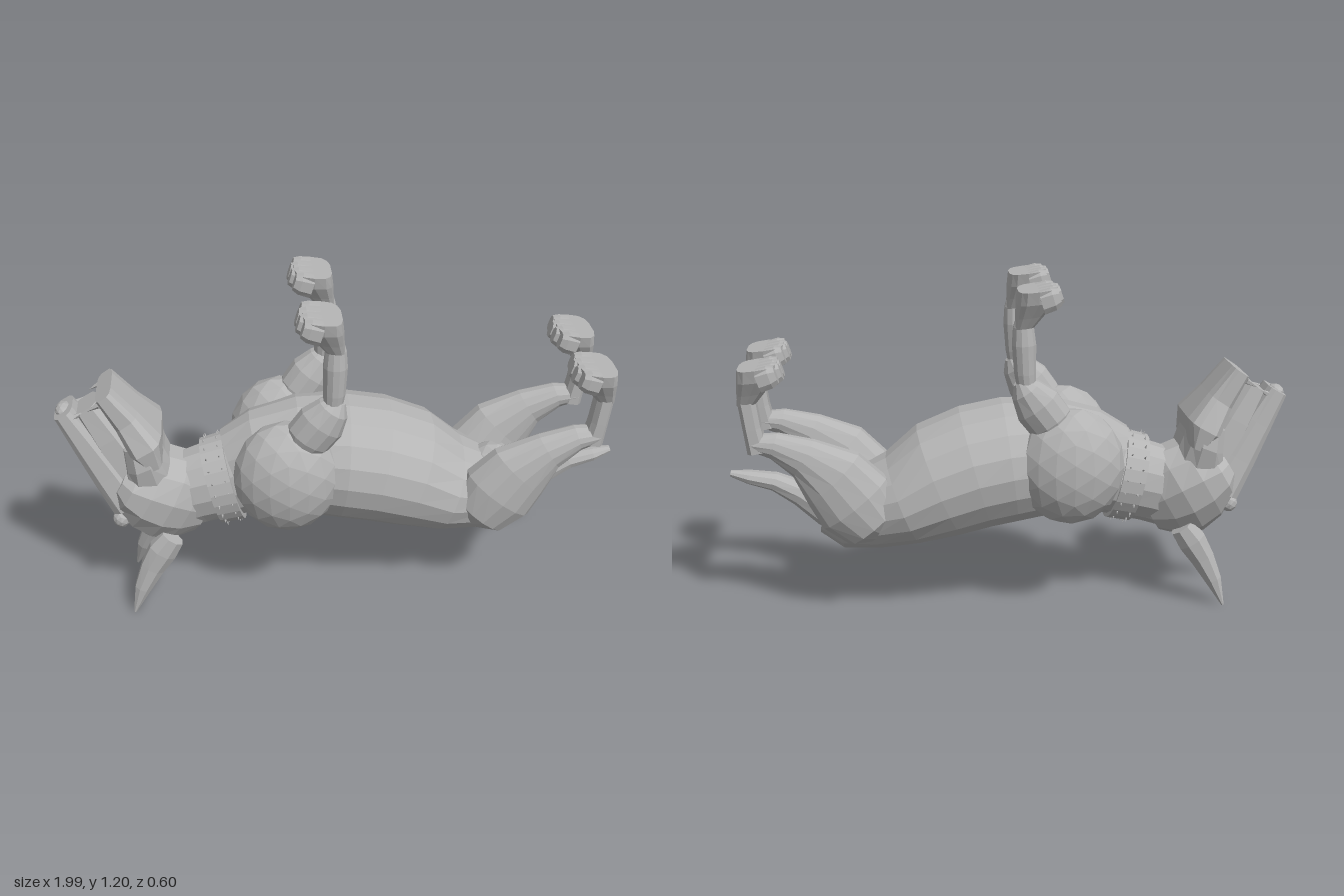
import * as THREE from 'three';

const coat = new THREE.MeshStandardMaterial({ color: 0xb4b4b4, flatShading: true });
coat.name = 'plainGrey';

// Facets a geometry and wraps it in a named mesh.
function part(name, geometry) {
  const g = geometry.index ? geometry.toNonIndexed() : geometry;
  g.computeVertexNormals();
  const mesh = new THREE.Mesh(g, coat);
  mesh.name = name;
  return mesh;
}

// Skins rings [x, y, half height, half width, z] square to the path, or square to dir.
function loft(name, rows, { sides = 12, box = 1, dir = null } = {}) {
  const pos = [], idx = [], n = rows.length;
  const soft = v => Math.sign(v) * Math.abs(v) ** box;
  rows.forEach(([x, y, h, w, z = 0], i) => {
    const a = rows[Math.max(i - 1, 0)], b = rows[Math.min(i + 1, n - 1)];
    const t = new THREE.Vector2(...(dir || [b[0] - a[0], b[1] - a[1]])).normalize();
    for (let j = 0; j < sides; j++) {
      const q = (j + 0.5) / sides * Math.PI * 2;
      const c = soft(Math.cos(q)) * h, s = soft(Math.sin(q)) * w;
      pos.push(x - t.y * c, y + t.x * c, z + s);
    }
  });
  for (let i = 0; i < n - 1; i++) for (let j = 0; j < sides; j++) {
    const k = (j + 1) % sides, a = i * sides + j, b = i * sides + k;
    idx.push(a, b, a + sides, b, b + sides, a + sides);
  }
  const first = pos.length / 3, end = (n - 1) * sides;
  for (const r of [rows[0], rows[n - 1]]) pos.push(r[0], r[1], r[4] || 0);
  for (let j = 0; j < sides; j++) {
    const k = (j + 1) % sides;
    idx.push(first, k, j, first + 1, end + j, end + k);
  }
  const g = new THREE.BufferGeometry();
  g.setAttribute('position', new THREE.Float32BufferAttribute(pos, 3));
  g.setIndex(idx);
  return part(name, g);
}

function blob(name, x, y, z, rx, ry, rz, detail = 1) {
  const mesh = part(name, new THREE.IcosahedronGeometry(1, detail).scale(rx, ry, rz));
  mesh.position.set(x, y, z);
  return mesh;
}

// Cone standing at p and pointing along d.
function spike(name, p, d, r, len) {
  const mesh = part(name, new THREE.ConeGeometry(r, len, 5));
  mesh.position.copy(p);
  mesh.quaternion.setFromUnitVectors(new THREE.Vector3(0, 1, 0), d.clone().normalize());
  return mesh;
}

// Upturned paw with four blunt toes; origin at the wrist.
function paw(name, x, y, z) {
  const g = new THREE.Group();
  g.name = name;
  g.add(loft('pawPad', [
    [-0.002, -0.02, 0.034, 0.038], [-0.02, 0.02, 0.05, 0.058],
    [-0.042, 0.07, 0.07, 0.086], [-0.043, 0.114, 0.066, 0.096],
  ], { sides: 14, box: 0.65, dir: [0.12, 1] }));
  [-0.071, -0.024, 0.024, 0.071].forEach((tz, i) => {
    const out = i % 3 ? 0.012 : 0;
    g.add(loft('toe', [
      [-0.05, 0.075, 0.042, 0.026, tz], [-0.09 - out, 0.088, 0.04, 0.027, tz],
      [-0.112 - out, 0.095, 0.03, 0.019, tz],
    ], { sides: 8, box: 0.8 }));
  });
  g.position.set(x, y, z);
  return g;
}

export function createModel() {
  const model = new THREE.Group();
  model.name = 'hound';

  // Torso, belly up
  model.add(loft('torso', [
    [-0.37, 0.495, 0.17, 0.145], [-0.28, 0.53, 0.195, 0.185], [-0.15, 0.55, 0.215, 0.22],
    [0.0, 0.54, 0.225, 0.25], [0.12, 0.517, 0.224, 0.255], [0.25, 0.472, 0.213, 0.25],
    [0.38, 0.41, 0.172, 0.235], [0.50, 0.375, 0.15, 0.19], [0.60, 0.36, 0.133, 0.145],
    [0.67, 0.37, 0.085, 0.09],
  ], { sides: 18 }));
  model.add(blob('rump', 0.555, 0.42, 0.01, 0.11, 0.13, 0.11, 2));

  // Tail
  model.add(loft('tail', [
    [0.56, 0.30, 0.05, 0.06, 0.01], [0.66, 0.355, 0.056, 0.052, 0.015],
    [0.75, 0.425, 0.046, 0.047, 0.015], [0.84, 0.473, 0.034, 0.044, 0.015],
    [0.93, 0.492, 0.025, 0.037, 0.015], [0.995, 0.507, 0.011, 0.016, 0.015],
  ], { sides: 10 }));

  // Neck
  model.add(loft('neck', [
    [-0.62, 0.40, 0.14, 0.11], [-0.53, 0.435, 0.145, 0.125],
    [-0.43, 0.465, 0.15, 0.14], [-0.30, 0.51, 0.16, 0.16],
  ], { sides: 14 }));

  // Collar with two rows of studs
  const axis = new THREE.Vector3(0.97, 0.23, 0), up = new THREE.Vector3(-0.23, 0.97, 0);
  const mid = new THREE.Vector3(-0.43, 0.467, 0.005);
  const ring = (s, h, w) => [mid.x + axis.x * s, mid.y + axis.y * s, h, w, mid.z];
  model.add(loft('collar', [ring(-0.042, 0.163, 0.15), ring(0.042, 0.167, 0.157)], { sides: 24 }));
  for (const s of [-0.024, 0.024]) for (let i = 0; i < 22; i++) {
    const q = i / 22 * Math.PI * 2;
    const d = up.clone().multiplyScalar(Math.cos(q)).add(new THREE.Vector3(0, 0, Math.sin(q) * 0.94));
    const p = mid.clone().addScaledVector(axis, s).addScaledVector(d, 0.168);
    model.add(spike('collarStud', p, d, 0.005, 0.018));
  }

  // Skull and jaw hinge
  model.add(loft('skull', [
    [-0.505, 0.345, 0.10, 0.09], [-0.57, 0.375, 0.163, 0.135], [-0.63, 0.412, 0.18, 0.165],
    [-0.70, 0.455, 0.165, 0.175], [-0.76, 0.495, 0.115, 0.165], [-0.79, 0.52, 0.08, 0.125],
  ], { sides: 12, dir: [-0.85, 0.5] }));
  model.add(loft('jawHinge', [
    [-0.69, 0.52, 0.10, 0.145], [-0.70, 0.60, 0.08, 0.158], [-0.712, 0.68, 0.072, 0.142],
  ], { sides: 12, box: 0.8, dir: [-0.4, 1] }));

  // Muzzle, mouth lining and lower jaw
  model.add(loft('muzzle', [
    [-0.765, 0.43, 0.075, 0.13], [-0.83, 0.545, 0.067, 0.108],
    [-0.90, 0.67, 0.053, 0.088], [-0.965, 0.785, 0.038, 0.07],
  ], { sides: 12, box: 0.6 }));
  model.add(loft('mouthLining', [
    [-0.74, 0.53, 0.08, 0.11], [-0.82, 0.68, 0.06, 0.085], [-0.888, 0.80, 0.045, 0.06],
  ], { sides: 8, box: 0.6 }));
  model.add(loft('lowerJaw', [
    [-0.66, 0.60, 0.03, 0.15], [-0.69, 0.67, 0.066, 0.16],
    [-0.75, 0.76, 0.05, 0.115], [-0.82, 0.865, 0.034, 0.105],
  ], { sides: 12, box: 0.5 }));
  model.add(blob('nose', -0.965, 0.775, -0.005, 0.03, 0.026, 0.045));

  for (const side of [1, -1]) {
    const at = z => 0.01 + side * z;

    // Eyes, fangs and ears
    model.add(blob('eye', -0.795, 0.38, at(0.09), 0.032, 0.035, 0.032));
    const gape = new THREE.Vector3(0.87, 0.5, 0);
    model.add(spike('upperFang', new THREE.Vector3(-0.91, 0.785, side * 0.055), gape, 0.012, 0.05));
    model.add(spike('lowerFang', new THREE.Vector3(-0.86, 0.82, side * 0.08), gape.clone().negate(), 0.012, 0.05));
    model.add(loft('ear', [
      [-0.62, 0.30, 0.045, 0.036, at(0.115)], [-0.66, 0.245, 0.055, 0.044, at(0.115)],
      [-0.70, 0.18, 0.046, 0.041, at(0.118)], [-0.74, 0.10, 0.032, 0.03, at(0.132)],
      [-0.776, 0.005, 0.005, 0.005, at(0.153)],
    ], { sides: 8 }));

    // Shoulder and front leg
    model.add(blob('shoulder', -0.205, 0.56, side * 0.165, 0.19, 0.21, 0.138, 2));
    model.add(loft('upperForeleg', [
      [-0.17, 0.66, 0.05, 0.05, at(0.165)], [-0.13, 0.725, 0.082, 0.072, at(0.175)],
      [-0.085, 0.785, 0.084, 0.073, at(0.18)], [-0.045, 0.84, 0.058, 0.058, at(0.185)],
      [-0.025, 0.872, 0.026, 0.03, at(0.185)],
    ], { sides: 12 }));
    model.add(loft('lowerForeleg', [
      [-0.05, 0.82, 0.03, 0.034, at(0.185)], [-0.042, 0.90, 0.038, 0.042, at(0.185)],
      [-0.038, 1.0, 0.042, 0.044, at(0.185)], [-0.036, 1.06, 0.036, 0.036, at(0.185)],
      [-0.038, 1.085, 0.03, 0.03, at(0.185)],
    ], { sides: 12 }));
    model.add(paw('frontPaw', -0.038, 1.08, at(0.185)));

    // Thigh, hock and hind paw
    model.add(loft('thigh', [
      [0.45, 0.32, 0.05, 0.04, at(0.13)], [0.485, 0.36, 0.115, 0.085, at(0.145)],
      [0.55, 0.44, 0.145, 0.094, at(0.15)], [0.62, 0.53, 0.128, 0.078, at(0.158)],
      [0.72, 0.61, 0.075, 0.06, at(0.16)], [0.82, 0.655, 0.047, 0.048, at(0.155)],
      [0.895, 0.665, 0.03, 0.042, at(0.15)],
    ], { sides: 14 }));
    model.add(loft('hock', [
      [0.875, 0.635, 0.036, 0.044, at(0.15)], [0.89, 0.72, 0.032, 0.044, at(0.15)],
      [0.905, 0.83, 0.032, 0.042, at(0.15)],
    ], { sides: 8, box: 0.7 }));
    model.add(paw('hindPaw', 0.905, 0.825, at(0.15)));
  }
  return model;
}
